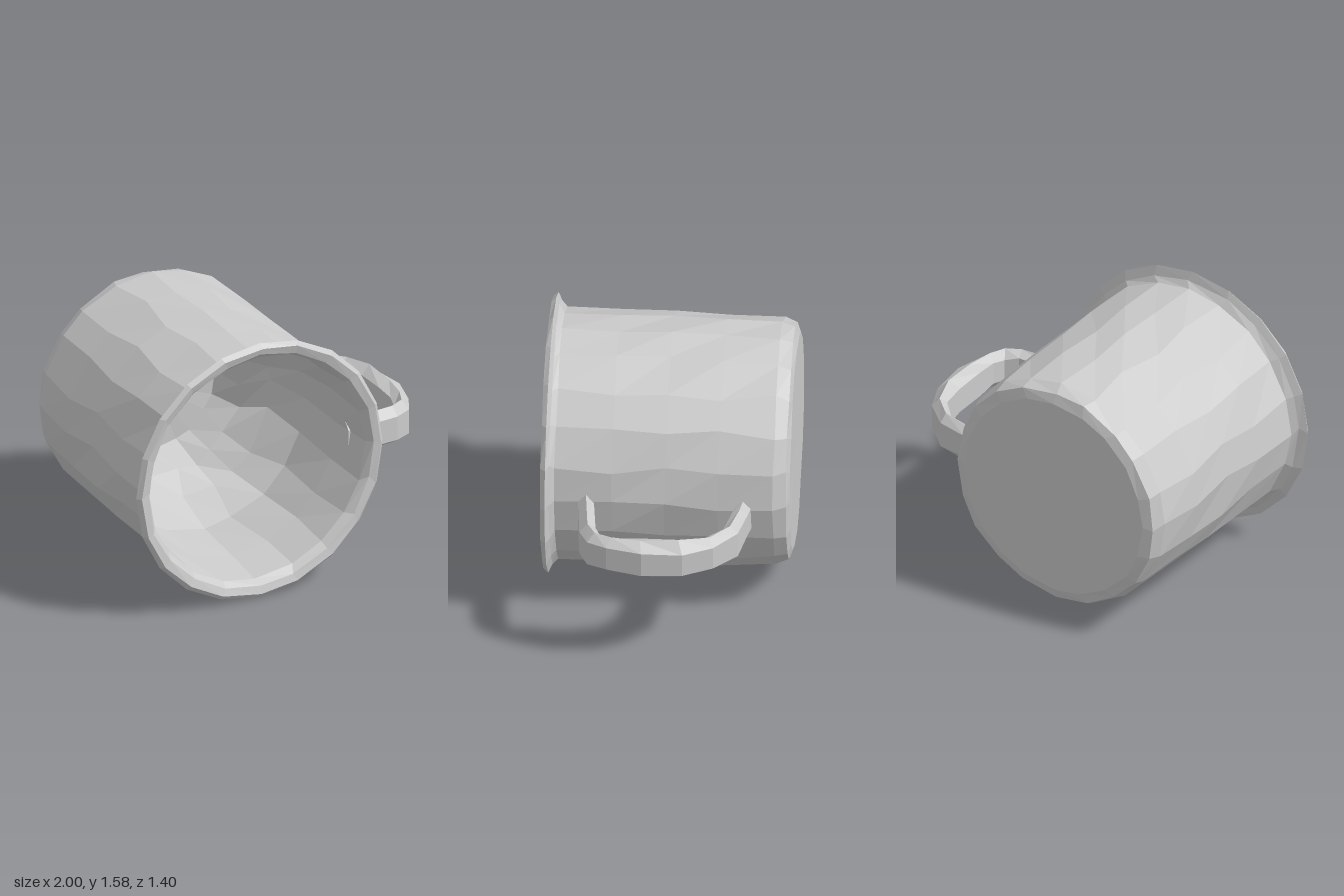
import * as THREE from 'three';

const SIDES = 20;
const CENTRE = { x: -0.21, y: 0.79 };
const grey = new THREE.MeshStandardMaterial({ color: 0xcccccc, flatShading: true });

// Repeatable value in -1..1 for a pair of numbers
function wobble(a, b) {
  const s = Math.sin(a * 12.9898 + b * 78.233) * 43758.5453;
  return 2 * (s - Math.floor(s)) - 1;
}

function facetedMesh(name, geometry) {
  const flat = geometry.index ? geometry.toNonIndexed() : geometry;
  flat.computeVertexNormals();
  const mesh = new THREE.Mesh(flat, grey);
  mesh.name = name;
  return mesh;
}

// Lathe along z from [radius, z, unevenness] rings, with hand-hewn facets.
// The wobble depends only on the ring, so neighbouring parts meet exactly.
function turnedPart(name, rings) {
  const geometry = new THREE.LatheGeometry(rings.map(([r, z]) => new THREE.Vector2(r, z)), SIDES);
  const pos = geometry.attributes.position;
  for (let i = 0; i < pos.count; i++) {
    const [r, z, amount] = rings[i % rings.length];
    const side = Math.floor(i / rings.length) % SIDES;
    const key = Math.round(r * 100) + Math.round(z * 100) * 0.37;
    const angle = (side / SIDES) * Math.PI * 2 + wobble(key, side + 50) * amount * 5;
    const radius = r === 0 ? 0 : r + wobble(key, side) * amount;
    const depth = r === 0 ? z : z + wobble(key, side + 90) * amount * 0.6;
    pos.setXYZ(i, Math.sin(angle) * radius, depth, Math.cos(angle) * radius);
  }
  geometry.rotateX(Math.PI / 2);
  const mesh = facetedMesh(name, geometry);
  mesh.position.set(CENTRE.x, CENTRE.y, 0);
  return mesh;
}

// Handle: hexagonal sections between an inner and an outer outline in the xz plane
function handle() {
  // [outer x, outer z, inner x, inner z]
  const sections = [
    [0.46, -0.49, 0.46, -0.40],
    [0.56, -0.475, 0.58, -0.38],
    [0.75, -0.43, 0.74, -0.34],
    [0.90, -0.30, 0.83, -0.25],
    [0.98, -0.13, 0.86, -0.08],
    [1.00, 0.10, 0.86, 0.12],
    [0.95, 0.30, 0.86, 0.25],
    [0.89, 0.41, 0.84, 0.33],
    [0.79, 0.46, 0.77, 0.37],
    [0.46, 0.49, 0.46, 0.40],
  ];
  // [blend from outer to inner, y]
  const profile = [[0, 0.66], [0, 0.80], [0.5, 0.85], [1, 0.81], [1, 0.67], [0.5, 0.62]];
  const n = profile.length;
  const points = [];
  const index = [];
  sections.forEach(([ox, oz, ix, iz], k) => {
    profile.forEach(([t, y], j) => {
      points.push(ox + (ix - ox) * t, y + wobble(k, j) * 0.012, oz + (iz - oz) * t);
      if (k === 0) return;
      const a = (k - 1) * n + j, b = (k - 1) * n + (j + 1) % n;
      index.push(a, b, b + n, a, b + n, a + n);
    });
  });
  const geometry = new THREE.BufferGeometry();
  geometry.setAttribute('position', new THREE.Float32BufferAttribute(points, 3));
  geometry.setIndex(index);
  return facetedMesh('handle', geometry);
}

export function createModel() {
  const mug = new THREE.Group();
  mug.name = 'mug';

  const neck = [0.705, 0.62, 0.006];
  const lip = [0.69, 0.64, 0.006];
  const floorEdge = [0.38, -0.55, 0.012];

  // Closed base with a chamfered edge, then the outer wall
  mug.add(turnedPart('outerWall', [
    [0, -0.7, 0], [0.61, -0.7, 0.004], [0.67, -0.68, 0.006], [0.695, -0.61, 0.008],
    [0.705, -0.3, 0.009], [0.705, 0, 0.009], [0.705, 0.3, 0.009], neck,
  ]));

  // Flared rim around the mouth
  mug.add(turnedPart('rim', [
    neck, [0.74, 0.65, 0.008], [0.79, 0.67, 0], [0.765, 0.697, 0.004], [0.72, 0.685, 0.008], lip,
  ]));

  // Rough inside, narrowing towards a small round floor
  mug.add(turnedPart('interior', [
    lip, [0.67, 0.35, 0.008], [0.655, 0, 0.01], [0.57, -0.22, 0.025],
    [0.46, -0.38, 0.025], floorEdge, [0, -0.57, 0],
  ]));

  mug.add(handle());
  return mug;
}
